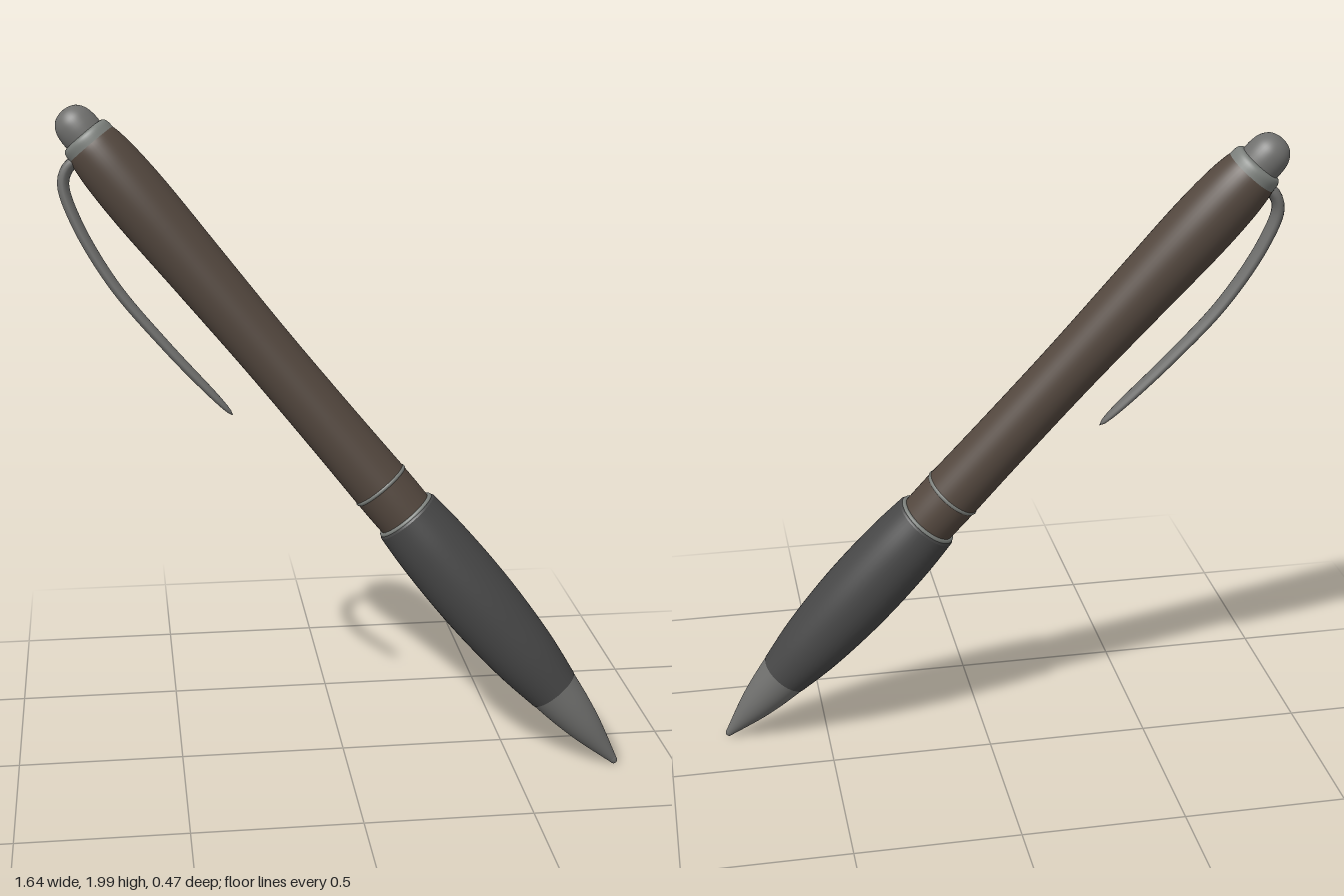
import * as THREE from 'three';
import { mergeVertices } from 'three/addons/utils/BufferGeometryUtils.js';

const TIP = new THREE.Vector3(0.816, 0.008, 0.207);
const TOP = new THREE.Vector3(-0.79, 1.975, -0.162);

const material = (color) => new THREE.MeshStandardMaterial({ color, side: THREE.DoubleSide });
const metal = material(0x70706e);
const wood = material(0x54483f);
const rubber = material(0x474747);
const trim = material(0x7c807c);

// Smooth turned part from a few [radius, distance from tip] pairs
function turned(name, pairs, mat, steps = 28) {
  const curve = new THREE.SplineCurve(pairs.map(([r, s]) => new THREE.Vector2(r, s)));
  const points = curve.getPoints(steps);
  points.forEach((p) => { p.x = Math.max(p.x, 0); });
  const mesh = new THREE.Mesh(new THREE.LatheGeometry(points, 48), mat);
  mesh.name = name;
  return mesh;
}

function ring(name, s, radius, tube) {
  const mesh = new THREE.Mesh(new THREE.TorusGeometry(radius, tube, 10, 48), trim);
  mesh.rotation.x = Math.PI / 2;
  mesh.position.y = s;
  mesh.name = name;
  return mesh;
}

// Curved pocket clip: a tube, flattened and tapered toward its free end
function clip() {
  const path = new THREE.CatmullRomCurve3([
    [0.05, 2.43], [0.09, 2.435], [0.135, 2.41], [0.178, 2.31], [0.216, 2.1],
    [0.217, 1.86], [0.2, 1.575],
  ].map(([d, s]) => new THREE.Vector3(d, s, 0)));
  const steps = 60, sides = 16;
  const geo = new THREE.TubeGeometry(path, steps, 0.018, sides);
  const pos = geo.attributes.position;
  const v = new THREE.Vector3();
  for (let i = 0; i <= steps; i++) {
    const u = i / steps;
    const centre = path.getPointAt(u);
    const taper = (1 - 0.25 * u) * Math.sqrt(Math.max(0, 1 - Math.pow(u, 14)));
    for (let j = 0; j <= sides; j++) {
      const k = i * (sides + 1) + j;
      v.fromBufferAttribute(pos, k).sub(centre).multiplyScalar(taper);
      v.z *= 1.7;
      v.add(centre);
      pos.setXYZ(k, v.x, v.y, v.z);
    }
  }
  geo.deleteAttribute('uv');
  geo.deleteAttribute('normal');
  const smooth = mergeVertices(geo);
  smooth.computeVertexNormals();
  const mesh = new THREE.Mesh(smooth, metal);
  mesh.name = 'pocketClip';
  return mesh;
}

export function createModel() {
  const pen = new THREE.Group();
  pen.name = 'pen';

  // Writing end
  pen.add(turned('writingPoint', [[0, -0.004], [0.008, -0.002], [0.012, 0.008], [0.014, 0.02]], metal, 10));
  pen.add(turned('metalTip', [[0.014, 0.015], [0.047, 0.13], [0.066, 0.22], [0.079, 0.305]], metal));

  // Soft grip with a small shoulder where it meets the barrel
  pen.add(turned('grip', [
    [0.08, 0.303], [0.1, 0.44], [0.112, 0.6], [0.115, 0.74], [0.111, 0.89], [0.102, 1.005],
  ], rubber));
  pen.add(turned('gripShoulder', [[0.102, 1.005], [0.097, 1.012], [0.086, 1.014]], rubber, 8));
  pen.add(ring('gripRing', 1.012, 0.09, 0.008));

  // Barrel
  pen.add(turned('collar', [[0.088, 1.01], [0.089, 1.07], [0.089, 1.13]], wood, 8));
  pen.add(ring('barrelRing', 1.132, 0.085, 0.007));
  pen.add(turned('barrel', [
    [0.089, 1.13], [0.086, 1.35], [0.085, 1.65], [0.09, 1.95], [0.095, 2.2], [0.092, 2.34],
    [0.084, 2.42], [0.073, 2.46],
  ], wood, 48));

  // Cap ring and push button
  pen.add(turned('capRing', [[0.08, 2.44], [0.078, 2.462], [0.07, 2.474], [0.056, 2.476]], trim, 12));
  pen.add(turned('pushButton', [
    [0.062, 2.465], [0.062, 2.5], [0.056, 2.53], [0.04, 2.553], [0.02, 2.563], [0, 2.566],
  ], metal));

  pen.add(clip());

  // Lean the pen: local y runs tip to top, local x points to the clip side
  const along = TOP.clone().sub(TIP).normalize();
  const out = new THREE.Vector3(-along.y, along.x, 0).normalize();
  const across = new THREE.Vector3().crossVectors(out, along);
  pen.quaternion.setFromRotationMatrix(new THREE.Matrix4().makeBasis(out, along, across));
  pen.position.copy(TIP);

  const model = new THREE.Group();
  model.name = 'leaningPen';
  model.add(pen);
  return model;
}
